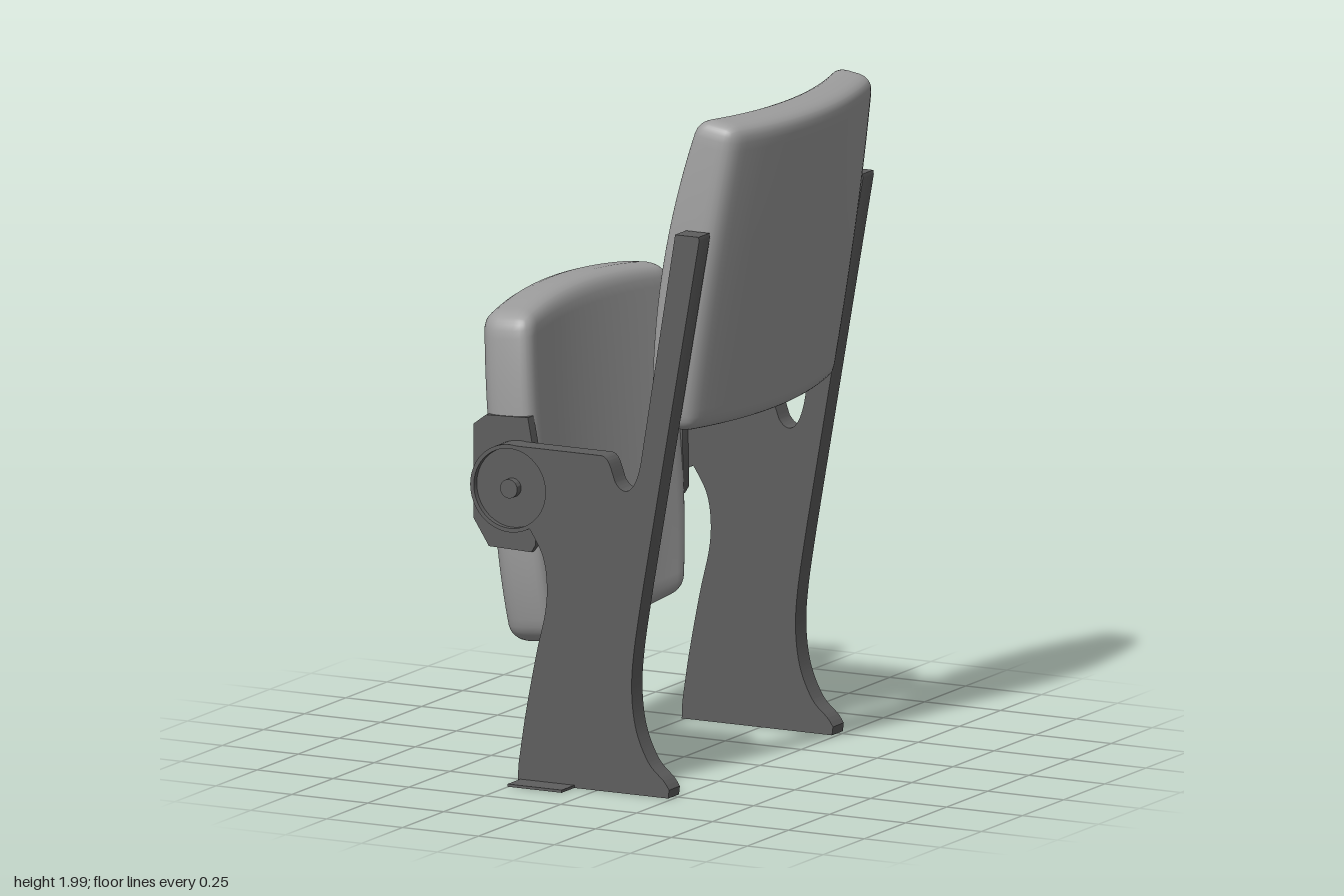
import * as THREE from 'three';
import { mergeVertices, toCreasedNormals } from 'three/addons/utils/BufferGeometryUtils.js';

const fabric = new THREE.MeshStandardMaterial({ color: 0x9e9e9e });
fabric.name = 'grey upholstery';
const metal = new THREE.MeshStandardMaterial({ color: 0x5e5e5e });
metal.name = 'dark grey metal';

const HUB = { x: -0.287, y: 0.865, r: 0.13 };
const FRAME_Z = 0.498, FRAME_DEPTH = 0.066;

function addMesh(parent, name, geometry, material) {
  const mesh = new THREE.Mesh(geometry, material);
  mesh.name = name;
  parent.add(mesh);
  return mesh;
}

// Rounded cushion: a dense box with rounded edges, then bent by a rule
// bend(p, v, s) where v and s run -1..1 over the height and the width.
function cushion(t, h, w, r, bend) {
  const geo = new THREE.BoxGeometry(2, 2, 2, 10, 28, 28);
  geo.deleteAttribute('uv');
  geo.deleteAttribute('normal');
  const half = new THREE.Vector3(t / 2, h / 2, w / 2);
  const inner = half.clone().subScalar(r);
  const pos = geo.attributes.position;
  const p = new THREE.Vector3(), core = new THREE.Vector3();
  const crowd = (a) => Math.sign(a) * (1 - Math.pow(1 - Math.min(1, Math.abs(a)), 1.8));
  for (let i = 0; i < pos.count; i++) {
    p.fromBufferAttribute(pos, i);
    p.set(crowd(p.x), crowd(p.y), crowd(p.z)).multiply(half);
    core.copy(p).clamp(inner.clone().negate(), inner);
    p.sub(core).setLength(r).add(core);
    bend(p, p.y / half.y, p.z / half.z);
    pos.setXYZ(i, p.x, p.y, p.z);
  }
  const smooth = mergeVertices(geo, 1e-5);
  smooth.computeVertexNormals();
  return smooth;
}

// Side frame outline with foot, waist, hinge socket and back post
function frameShape() {
  const s = new THREE.Shape();
  s.moveTo(-0.26, 0);
  s.lineTo(0.235, 0);
  s.lineTo(0.238, 0.025);
  s.splineThru([[0.22, 0.05], [0.17, 0.1], [0.13, 0.19], [0.115, 0.3], [0.122, 0.42], [0.15, 0.6]]
    .map(([x, y]) => new THREE.Vector2(x, y)));
  s.lineTo(0.337, 1.66);
  s.lineTo(0.335, 1.672);
  s.lineTo(0.258, 1.672);
  s.lineTo(0.145, 0.985);
  s.bezierCurveTo(0.125, 0.88, 0.085, 0.88, 0.06, 0.92);
  s.bezierCurveTo(0.045, 0.96, 0.04, 0.99, 0.015, 0.993);
  s.lineTo(HUB.x, 0.993);
  s.absarc(HUB.x, HUB.y, 0.126, Math.PI / 2, -Math.PI / 3, true);
  s.splineThru([[-0.18, 0.68], [-0.165, 0.6], [-0.17, 0.51], [-0.2, 0.38], [-0.235, 0.2], [-0.258, 0.05]]
    .map(([x, y]) => new THREE.Vector2(x, y)));
  return s;
}

// Plate on the seat's end that joins it to the hinge
function bracketShape() {
  return new THREE.Shape([[-0.44, 0.75], [-0.39, 0.672], [-0.25, 0.668], [-0.237, 0.69], [-0.24, 0.95],
    [-0.262, 1.065], [-0.4, 1.06], [-0.44, 1.03]].map(([x, y]) => new THREE.Vector2(x, y)));
}

function extrude(shape, depth) {
  const geo = new THREE.ExtrudeGeometry(shape, { depth, bevelEnabled: false, curveSegments: 20 });
  geo.translate(0, 0, -depth / 2);
  return toCreasedNormals(geo, 0.6);
}

export function createModel() {
  const model = new THREE.Group();
  model.name = 'foldingSeat';

  // Backrest, leaning back, hollow towards the sitter
  const backrest = addMesh(model, 'backrest', cushion(0.135, 0.928, 0.928, 0.045, (p, v, s) => {
    if (p.x < 0) p.x -= 0.035 * (1 - v * v) * Math.min(1, -p.x / 0.04);
    p.x += 0.062 * (1 - s * s);
    const up = Math.max(0, (v + 0.2) / 1.2), down = Math.max(0, (-v - 0.2) / 0.8);
    p.z *= 1 - 0.07 * up * up - 0.025 * down * down;
  }), fabric);
  backrest.position.set(0.258, 1.532, 0);
  backrest.rotation.z = -0.157;

  // Seat, folded up, with arched ends
  const seat = addMesh(model, 'seat', cushion(0.165, 1.036, 0.924, 0.058, (p, v, s) => {
    p.x -= 0.043 * (1 - s * s);
    p.y -= 0.035 * s * s * v * v * v;
    const up = Math.max(0, (v - 0.3) / 0.7), down = Math.max(0, (-v - 0.15) / 0.85);
    p.z *= 1 - 0.06 * up * up - 0.12 * down * down;
  }), fabric);
  seat.position.set(-0.318, 0.87, 0);
  seat.rotation.z = 0.078;

  const frameGeo = extrude(frameShape(), FRAME_DEPTH);
  const bracketGeo = extrude(bracketShape(), 0.036);
  // Hinge disc with raised rim and centre pin
  const d = FRAME_DEPTH;
  const hubGeo = toCreasedNormals(new THREE.LatheGeometry(
    [[0, 0], [HUB.r, 0], [HUB.r, d], [0.118, d], [0.118, d - 0.018], [0.028, d - 0.018], [0.028, d + 0.006], [0, d + 0.006]]
      .map(([x, y]) => new THREE.Vector2(x, y)), 48), 0.6);
  // Recess in the frame is avoided because its edge follows the hinge circle
  const tabGeo = new THREE.BoxGeometry(0.178, 0.008, 0.13);

  for (const [side, label] of [[1, 'front'], [-1, 'rear']]) {
    const group = new THREE.Group();
    group.name = label + 'SideSupport';
    model.add(group);
    addMesh(group, 'sideFrame', frameGeo, metal).position.z = side * FRAME_Z;
    addMesh(group, 'seatBracket', bracketGeo, metal).position.z = side * 0.449;
    const hub = addMesh(group, 'hingeDisc', hubGeo, metal);
    hub.position.set(HUB.x, HUB.y, side * (FRAME_Z - d / 2));
    hub.rotation.x = side * Math.PI / 2;
    addMesh(group, 'floorTab', tabGeo, metal).position.set(-0.163, 0.004, side * 0.543);
  }
  return model;
}
